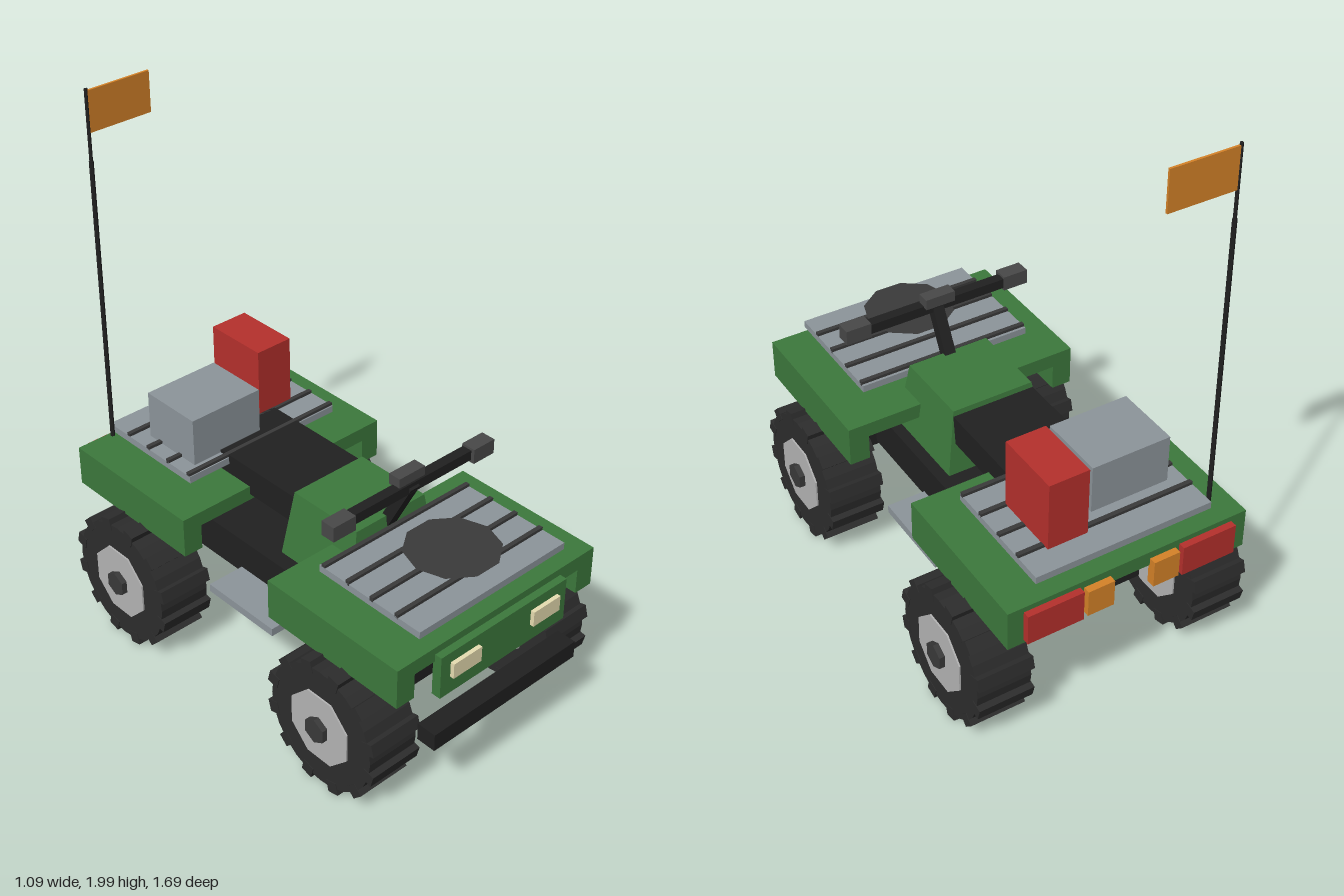
import * as THREE from 'three';

const mat = (color, extra = {}) => new THREE.MeshStandardMaterial({ color, flatShading: true, ...extra });
const M = {
  green: mat(0x3c783c), black: mat(0x202020), tire: mat(0x2c2c2c), dark: mat(0x3a3a3a), grip: mat(0x484848),
  rim: mat(0xb4b4b4), grey: mat(0x8c949a), red: mat(0xb5302c), orange: mat(0xd58228), lamp: mat(0xe6dcb0),
};

function add(parent, name, geometry, material, x = 0, y = 0, z = 0) {
  const mesh = new THREE.Mesh(geometry, material);
  mesh.name = name;
  mesh.position.set(x, y, z);
  parent.add(mesh);
  return mesh;
}

// Box given by its limits on each axis
function box(parent, name, material, [x0, x1], [y0, y1], [z0, z1]) {
  return add(parent, name, new THREE.BoxGeometry(x1 - x0, y1 - y0, z1 - z0), material,
    (x0 + x1) / 2, (y0 + y1) / 2, (z0 + z1) / 2);
}

// Cylinder lying along x
const axleCylinder = (r, width, sides, turn = 0) =>
  new THREE.CylinderGeometry(r, r, width, sides).rotateY(turn).rotateZ(Math.PI / 2);

function makeWheel(side, x, z) {
  const wheel = new THREE.Group();
  wheel.name = 'wheel';
  wheel.position.set(side * x, 0.255, z);
  add(wheel, 'tire', axleCylinder(0.232, 0.2, 24), M.tire);
  const lugs = 12;
  for (let i = 0; i < lugs; i++) {
    const a = (i + 0.5) / lugs * Math.PI * 2;
    const lug = add(wheel, 'treadLug', new THREE.BoxGeometry(0.205, 0.045, 0.046), M.tire,
      0, Math.cos(a) * 0.229, Math.sin(a) * 0.229);
    lug.rotation.x = a;
  }
  add(wheel, 'rim', axleCylinder(0.14, 0.212, 8, Math.PI / 8), M.rim);
  add(wheel, 'hub', axleCylinder(0.047, 0.06, 6, Math.PI / 2), M.dark, side * 0.097);
  return wheel;
}

// Fender: top slab with a skirt hanging at each side
function makeFender(name, z0, z1) {
  const g = new THREE.Group();
  g.name = name;
  box(g, 'fenderTop', M.green, [-0.45, 0.45], [0.59, 0.645], [z0, z1]);
  for (const s of [-1, 1])
    add(g, 'fenderSkirt', new THREE.BoxGeometry(0.075, 0.095, z1 - z0), M.green, s * 0.4125, 0.5425, (z0 + z1) / 2);
  return g;
}

// Luggage rack: flat plate with raised dark cross bars
function makeRack(name, z0, z1, firstBar) {
  const g = new THREE.Group();
  g.name = name;
  box(g, 'rackPlate', M.grey, [-0.33, 0.33], [0.685, 0.711], [z0, z1]);
  for (let i = 0; i < 4; i++) {
    const z = firstBar + i * 0.11;
    box(g, 'rackBar', M.dark, [-0.33, 0.33], [0.705, 0.722], [z - 0.008, z + 0.008]);
  }
  return g;
}

export function createModel() {
  const model = new THREE.Group();
  model.name = 'quadBike';

  // Running gear
  for (const s of [-1, 1]) {
    model.add(makeWheel(s, 0.403, 0.505), makeWheel(s, 0.418, -0.522));
    const fx = s * 0.2875;
    box(model, 'footrest', M.grey, [fx - 0.0725, fx + 0.0725], [0.305, 0.335], [-0.217, 0.11]);
  }
  box(model, 'chassis', M.black, [-0.205, 0.205], [0.3, 0.442], [-0.6, 0.6]);
  for (const z of [0.505, -0.522])
    box(model, 'axle', M.black, [-0.32, 0.32], [0.285, 0.335], [z - 0.025, z + 0.025]);
  box(model, 'frontBumper', M.black, [-0.33, 0.33], [0.28, 0.345], [0.77, 0.845]);

  // Bodywork
  model.add(makeFender('frontFender', 0.2, 0.793), makeFender('rearFender', -0.82, -0.23));
  box(model, 'frontPanel', M.green, [-0.288, 0.288], [0.455, 0.618], [0.785, 0.82]);

  // Tank: box tapering towards its top
  const tank = new THREE.BoxGeometry(2, 1, 2);
  const p = tank.attributes.position;
  for (let i = 0; i < p.count; i++) {
    const top = p.getY(i) > 0;
    const back = top ? 0 : -0.028, front = top ? 0.3 : 0.33;
    p.setXYZ(i, p.getX(i) * (top ? 0.155 : 0.192), top ? 0.742 : 0.495, p.getZ(i) > 0 ? front : back);
  }
  tank.computeVertexNormals();
  add(model, 'tank', tank, M.green);
  box(model, 'seat', M.black, [-0.157, 0.157], [0.613, 0.722], [-0.545, 0.03]);

  // Lamps
  for (const s of [-1, 1]) {
    const lamp = (name, m, x, w, y, h, z, d) =>
      add(model, name, new THREE.BoxGeometry(w, h, d), m, s * x, y, z);
    lamp('headlamp', M.lamp, 0.183, 0.125, 0.55, 0.058, 0.825, 0.02);
    lamp('tailLamp', M.red, 0.29, 0.205, 0.568, 0.115, -0.83, 0.03);
    lamp('indicator', M.orange, 0.124, 0.098, 0.568, 0.1, -0.83, 0.032);
  }

  // Racks and load
  model.add(makeRack('frontRack', 0.315, 0.765, 0.333), makeRack('rearRack', -0.788, -0.338, -0.68));
  add(model, 'dish', new THREE.CylinderGeometry(0.163, 0.1, 0.042, 10).rotateY(Math.PI / 2), M.dark, 0, 0.738, 0.58);
  box(model, 'greyCrate', M.grey, [-0.273, 0.022], [0.711, 0.89], [-0.628, -0.383]);
  box(model, 'fuelCan', M.red, [0.09, 0.237], [0.72, 0.975], [-0.71, -0.463]);

  // Steering
  const bars = new THREE.Group();
  bars.name = 'handlebars';
  const stem = add(bars, 'steeringStem', new THREE.BoxGeometry(0.042, 0.22, 0.04), M.black, 0, 0.81, 0.34);
  stem.rotation.x = 0.48;
  box(bars, 'handlebar', M.black, [-0.3, 0.3], [0.88, 0.917], [0.362, 0.4]);
  box(bars, 'instrument', M.grip, [-0.057, 0.057], [0.912, 0.952], [0.345, 0.393]);
  for (const s of [-1, 1])
    add(bars, 'grip', new THREE.BoxGeometry(0.095, 0.055, 0.055), M.grip, s * 0.313, 0.898, 0.386);
  model.add(bars);

  // Whip aerial with flag
  add(model, 'aerialLower', new THREE.CylinderGeometry(0.008, 0.008, 1.065, 6), M.black, -0.347, 1.2175, -0.753);
  add(model, 'aerialUpper', new THREE.CylinderGeometry(0.006, 0.006, 0.25, 6), M.black, -0.347, 1.875, -0.753);
  box(model, 'flag', M.orange, [-0.343, -0.1], [1.848, 1.993], [-0.757, -0.749]);

  return model;
}
